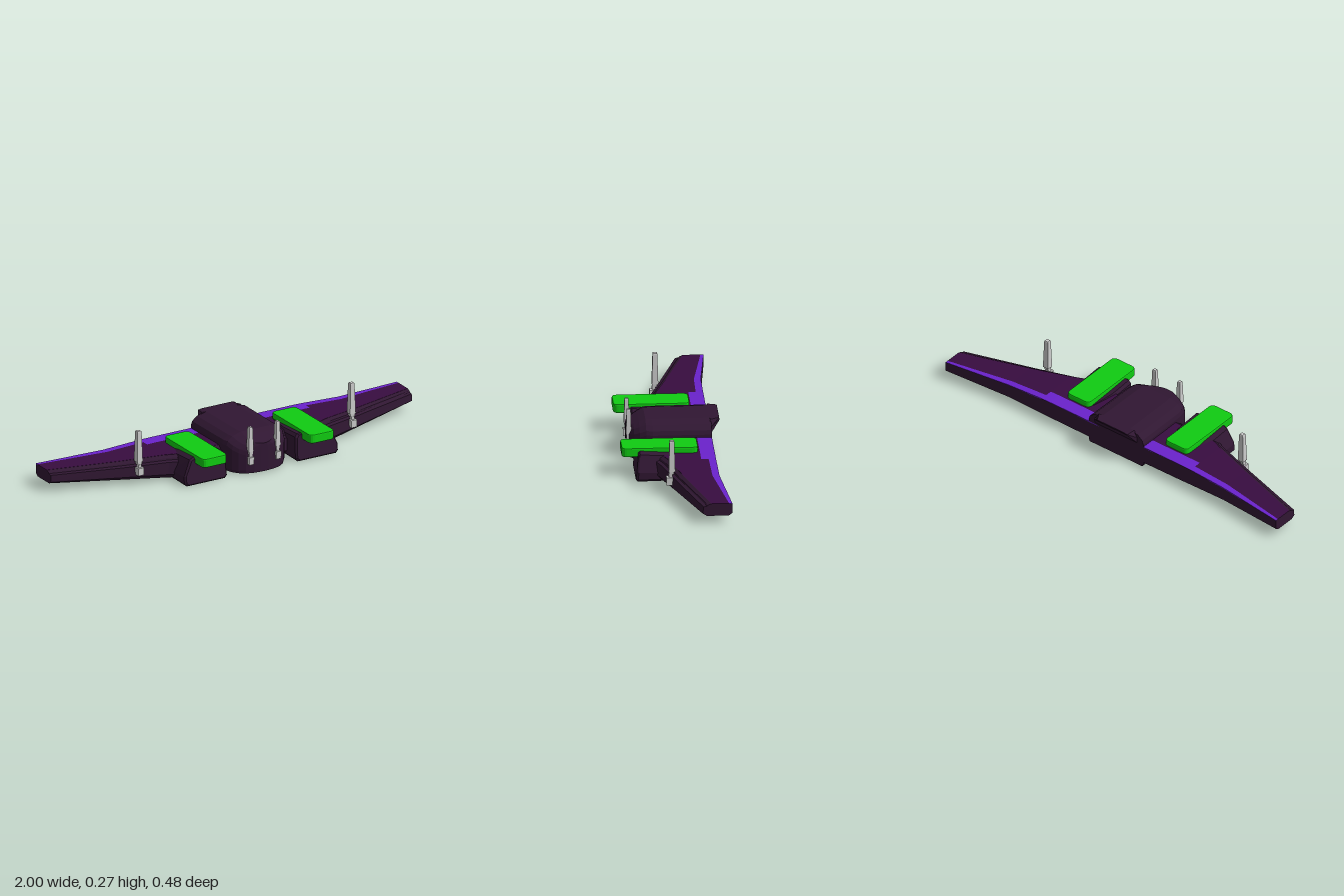
import * as THREE from 'three';

const mat = (color) => new THREE.MeshStandardMaterial({ color, flatShading: true });
const hull = mat(0x301732), skin = mat(0x380d40), trim = mat(0x6a22cc), green = mat(0x10cc12), metal = mat(0xcccccc);

function add(parent, name, geometry, material) {
  const mesh = new THREE.Mesh(geometry, material);
  mesh.name = name;
  parent.add(mesh);
  return mesh;
}

// Skin a closed solid through rings of [x, y, z] points
function loft(rings) {
  const n = rings[0].length, pos = rings.flat(2), idx = [], last = (rings.length - 1) * n;
  for (let i = 0; i < rings.length - 1; i++) {
    for (let j = 0; j < n; j++) {
      const a = i * n + j, d = i * n + (j + 1) % n, b = a + n, c = d + n;
      idx.push(a, b, c, a, c, d);
    }
  }
  for (let j = 1; j < n - 1; j++) idx.push(0, j, j + 1, last, last + j + 1, last + j);
  const g = new THREE.BufferGeometry();
  g.setAttribute('position', new THREE.Float32BufferAttribute(pos, 3));
  g.setIndex(idx);
  const flat = g.toNonIndexed();
  flat.computeVertexNormals();
  return flat;
}

// Wing stations: x, trailing z, leading z, bottom y, top y, front z of the trim strip
const stations = [
  [0, -0.2, 0.09, 0.006, 0.12, -0.13],
  [0.4, -0.2, 0.085, 0.01, 0.12, -0.13],
  [0.45, -0.2, 0.065, 0.012, 0.119, -0.13],
  [0.451, -0.2, 0.065, 0.012, 0.119, -0.165],
  [0.65, -0.203, 0.005, 0.022, 0.109, -0.17],
  [1, -0.24, -0.1, 0.04, 0.1, -0.225],
];
const span = [...stations.slice(1).reverse().map(([x, ...r]) => [-x, ...r]), ...stations];

function addWing(group) {
  add(group, 'wing', loft(span.map(([x, zr, zf, y0, y1]) => {
    const h = y1 - y0, c = zf - zr;
    return [[x, y0, zr + 0.12 * c], [x, y0, zf - 0.02], [x, y0 + 0.2 * h, zf], [x, y0 + 0.76 * h, zf - 0.004],
      [x, y0 + 0.82 * h, zf - 0.02], [x, y0 + 0.9 * h, zf - 0.024], [x, y1, zf - 0.04],
      [x, y1, zr], [x, y0 + 0.2 * h, zr]];
  })), hull);
  const panel = (x, y, z0, z1) => [[x, y - 0.004, z0], [x, y - 0.004, z1], [x, y + 0.001, z1], [x, y + 0.001, z0]];
  add(group, 'wingTopSkin', loft(span.map(([x, , zf, , y, zs]) => panel(x, y, zs, zf - 0.041))), skin);
  add(group, 'trailingEdgeStrip', loft(span.map(([x, zr, , , y, zs]) => panel(x, y, zr, zs))), trim);
}

// Fuselage with a rounded nose, and an overhanging hood at the rear
function addFuselage(group) {
  const nose = [[-0.2, 0.165, 0.19], [0.08, 0.163, 0.19], [0.11, 0.157, 0.19], [0.14, 0.145, 0.176],
    [0.165, 0.125, 0.163], [0.185, 0.095, 0.153], [0.196, 0.055, 0.15], [0.2, 0.02, 0.148]];
  add(group, 'fuselage', loft(nose.map(([z, w, t]) => {
    const half = [[w * 0.96, 0.005], [w, 0.02], [w, t - 0.055], [w * 0.96, t - 0.035], [w * 0.8, t - 0.014], [w * 0.5, t]];
    return [...half.map(([x, y]) => [-x, y, z]), ...half.reverse().map(([x, y]) => [x, y, z])];
  })), hull);
  const hood = (z, w, y0, y1) => [[w, y0, z], [-w, y0, z], [-w, (y0 + y1) / 2, z],
    [-w * 0.82, y1, z], [w * 0.82, y1, z], [w, (y0 + y1) / 2, z]];
  add(group, 'rearHood', loft([hood(-0.24, 0.1, 0.184, 0.19), hood(-0.195, 0.13, 0.122, 0.19)]), hull);
}

// Engine pod with bevelled edges and a raked front
function addPod(group, side) {
  const ring = (z, x0, x1, y0, y1, rake) => {
    const pts = [[x1 - 0.012, y0], [x0 + 0.012, y0], [x0, y0 + 0.012], [x0 + 0.004, y1 - 0.015],
      [x0 + 0.016, y1], [x1 - 0.055, y1], [x1 - 0.035, y1 - 0.01], [x1, y0 + 0.35 * (y1 - y0)], [x1, y0 + 0.012]];
    const r = pts.map(([x, y]) => [side * x, y, z - rake * (y - y0) / (y1 - y0)]);
    return side > 0 ? r : r.reverse();
  };
  add(group, side > 0 ? 'leftPod' : 'rightPod', loft([
    ring(-0.1, 0.21, 0.39, 0.012, 0.121, 0), ring(0.03, 0.19, 0.425, 0.002, 0.128, 0),
    ring(0.168, 0.19, 0.425, 0, 0.136, 0.014), ring(0.177, 0.198, 0.417, 0.008, 0.13, 0.014)]), hull);

  // Rounded pad lying on the pod
  const w = 0.0625, l = 0.175, r = 0.02, s = new THREE.Shape();
  s.moveTo(-w + r, -l);
  s.lineTo(w - r, -l).quadraticCurveTo(w, -l, w, -l + r);
  s.lineTo(w, l - r).quadraticCurveTo(w, l, w - r, l);
  s.lineTo(-w + r, l).quadraticCurveTo(-w, l, -w, l - r);
  s.lineTo(-w, -l + r).quadraticCurveTo(-w, -l, -w + r, -l);
  const pad = new THREE.ExtrudeGeometry(s, { depth: 0.033, bevelSize: 0.006, bevelThickness: 0.006, bevelSegments: 2, curveSegments: 4 });
  pad.rotateX(-Math.PI / 2);
  add(group, side > 0 ? 'leftPad' : 'rightPad', pad, green).position.set(side * 0.297, 0.111, 0.06);
}

// Upright square-section gun: mount block, stepped neck, tapering barrel
function addGun(group, name, x, z, base, top, size, offset) {
  const gun = new THREE.Group();
  gun.name = name;
  const post = (part, y0, y1, w0, w1, dz) => {
    const g = new THREE.CylinderGeometry(w1 * Math.SQRT1_2, w0 * Math.SQRT1_2, y1 - y0, 4);
    g.rotateY(Math.PI / 4);
    add(gun, part, g, metal).position.set(0, (y0 + y1) / 2, dz);
  };
  post('mount', base, base + 0.037, size, size * 1.05, offset);
  post('lowerNeck', base + 0.037, base + 0.052, size * 0.55, size * 0.6, offset * 0.6);
  post('upperNeck', base + 0.052, base + 0.066, size * 0.72, size * 0.78, offset * 0.2);
  post('barrel', base + 0.066, top - 0.004, size, size * 0.72, 0);
  post('muzzle', top - 0.004, top, size * 0.72, size * 0.6, 0);
  gun.position.set(x, 0, z);
  group.add(gun);
}

export function createModel() {
  const group = new THREE.Group();
  group.name = 'flyingWing';
  addWing(group);
  addFuselage(group);
  for (const side of [1, -1]) {
    const label = side > 0 ? 'left' : 'right';
    addPod(group, side);
    addGun(group, label + 'WingGun', side * 0.59, 0.019, 0.05, 0.27, 0.031, 0.01);
    addGun(group, label + 'NoseGun', side * 0.075, 0.189, 0.052, 0.24, 0.026, 0.003);
  }
  return group;
}
